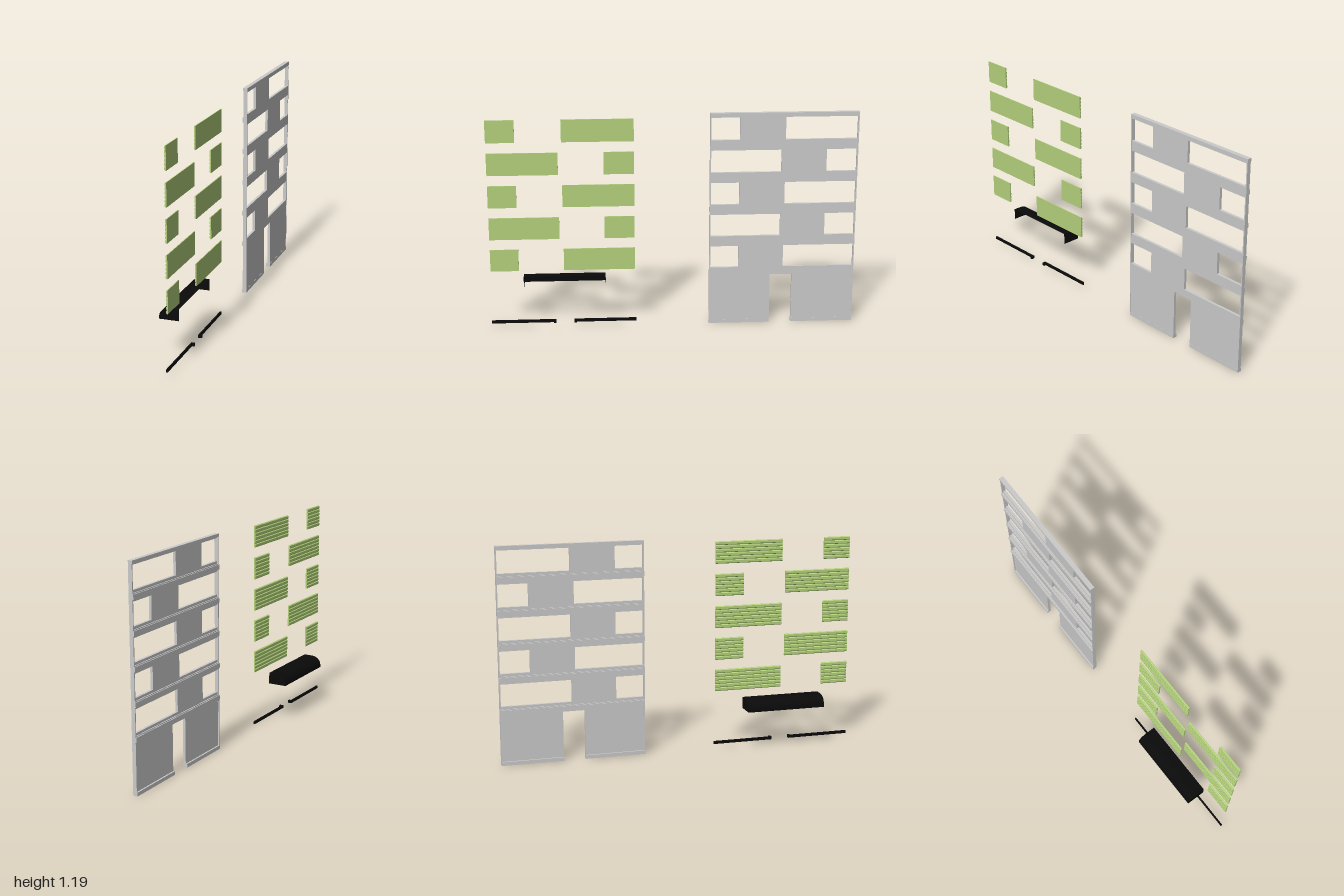
import * as THREE from 'three';

const paint = (color) => new THREE.MeshStandardMaterial({ color, side: THREE.DoubleSide });

export function createModel() {
  const model = new THREE.Group();
  const wallMat = paint(0xcccccc);
  const green = paint(0xb4d27c);
  const black = paint(0x0a0a0a);

  const add = (parent, name, geometry, material) => {
    const mesh = new THREE.Mesh(geometry, material);
    mesh.name = name;
    parent.add(mesh);
    return mesh;
  };

  // Box given by its limits on each axis
  const block = (parent, name, material, [x0, x1], [y0, y1], [z0, z1]) => {
    const g = new THREE.BoxGeometry(x1 - x0, y1 - y0, z1 - z0);
    g.translate((x0 + x1) / 2, (y0 + y1) / 2, (z0 + z1) / 2);
    return add(parent, name, g, material);
  };

  // Openings alternate per storey; u runs across the facade from 0 to 0.8
  const WINDOW_H = 0.123, FIRST = 0.327, PITCH = 0.18;
  const openings = [];
  for (let row = 0; row < 5; row++) {
    const spans = row % 2 ? [[0.006, 0.386], [0.63, 0.793]] : [[0.006, 0.16], [0.406, 0.793]];
    for (const [u0, u1] of spans) openings.push({ u0, u1, y: FIRST + row * PITCH });
  }

  // Facade slab with window holes and a doorway notch
  const wall = new THREE.Group();
  wall.name = 'facade';
  model.add(wall);
  const outline = new THREE.Shape([
    [0, 0], [0.336, 0], [0.336, 0.284], [0.457, 0.284], [0.457, 0], [0.8, 0], [0.8, 1.19], [0, 1.19],
  ].map(([u, y]) => new THREE.Vector2(u, y)));
  for (const { u0, u1, y } of openings) {
    const h = y + WINDOW_H;
    outline.holes.push(new THREE.Path([
      new THREE.Vector2(u0, y), new THREE.Vector2(u0, h), new THREE.Vector2(u1, h), new THREE.Vector2(u1, y),
    ]));
  }
  const slab = new THREE.ExtrudeGeometry(outline, { depth: 0.015, bevelEnabled: false });
  slab.rotateY(Math.PI / 2).translate(0.046, 0, -0.2);
  add(wall, 'wallPanel', slab, wallMat);

  // Edge trims, storey ledges, top cap and baseboards
  for (const [z0, z1] of [[-0.206, -0.2], [-1, -0.994]])
    block(wall, 'edgeTrim', wallMat, [0.04, 0.062], [0, 1.19], [z0, z1]);
  for (let i = 0; i < 5; i++) {
    const y = 0.295 + i * PITCH;
    block(wall, 'storeyLedge', wallMat, [0.04, 0.05], [y - 0.018, y + 0.018], [-1, -0.2]);
    block(wall, 'ledgeNose', wallMat, [0.035, 0.042], [y - 0.013, y + 0.013], [-1, -0.2]);
  }
  block(wall, 'topCap', wallMat, [0.037, 0.062], [1.177, 1.194], [-1, -0.2]);
  for (const [z0, z1] of [[-0.536, -0.2], [-1, -0.657]])
    block(wall, 'baseboard', wallMat, [0.037, 0.062], [0, 0.02], [z0, z1]);

  // Shutter panels: flat outside, ribbed on the other side
  const shutters = new THREE.Group();
  shutters.name = 'shutters';
  model.add(shutters);
  const RIBS = 6, rib = WINDOW_H / RIBS;
  const profile = new THREE.Shape();
  profile.moveTo(0.054, 0);
  profile.lineTo(0.054, WINDOW_H);
  profile.lineTo(0.049, WINDOW_H);
  for (let i = RIBS - 1; i >= 0; i--) {
    profile.lineTo(0.045, (i + 0.8) * rib);
    profile.lineTo(0.045, (i + 0.2) * rib);
    profile.lineTo(0.049, i * rib);
  }
  for (const { u0, u1, y } of openings) {
    const g = new THREE.ExtrudeGeometry(profile, { depth: u1 - u0, bevelEnabled: false });
    g.translate(0, y, 1 - u1);
    add(shutters, 'shutterPanel', g, green);
  }

  // Awning: curved hood with end caps, open underneath and at the back
  const awning = new THREE.Group();
  awning.name = 'awning';
  model.add(awning);
  const Z0 = 0.368, Z1 = 0.817;
  const curve = [[-0.064, 0.22]];
  for (let i = 0; i <= 10; i++) {
    const a = (i / 10) * Math.PI / 2;
    curve.push([-0.004 - 0.06 * Math.cos(a), 0.235 + 0.049 * Math.sin(a)]);
  }
  curve.push([0.042, 0.284]);
  const pos = [], index = [];
  curve.forEach(([x, y], i) => {
    pos.push(x, y, Z0, x, y, Z1);
    const a = i * 2;
    if (i < curve.length - 1) index.push(a, a + 1, a + 2, a + 1, a + 3, a + 2);
  });
  const hood = new THREE.BufferGeometry();
  hood.setAttribute('position', new THREE.Float32BufferAttribute(pos, 3));
  hood.setIndex(index);
  hood.computeVertexNormals();
  add(awning, 'awningHood', hood, black);
  const capShape = new THREE.Shape([...curve, [0.042, 0.22]].map(([x, y]) => new THREE.Vector2(x, y)));
  for (const z of [Z0, Z1])
    add(awning, 'awningEnd', new THREE.ShapeGeometry(capShape), black).position.z = z;

  // Skirting strips with short returns at the doorway
  const skirting = new THREE.Group();
  skirting.name = 'skirting';
  model.add(skirting);
  for (const [z0, z1, r0, r1] of [[0.2, 0.545, 0.53, 0.545], [0.655, 1, 0.645, 0.658]]) {
    block(skirting, 'skirtingStrip', black, [0.042, 0.05], [0.021, 0.037], [z0, z1]);
    block(skirting, 'skirtingReturn', black, [0.042, 0.062], [0.021, 0.037], [r0, r1]);
  }
  return model;
}
